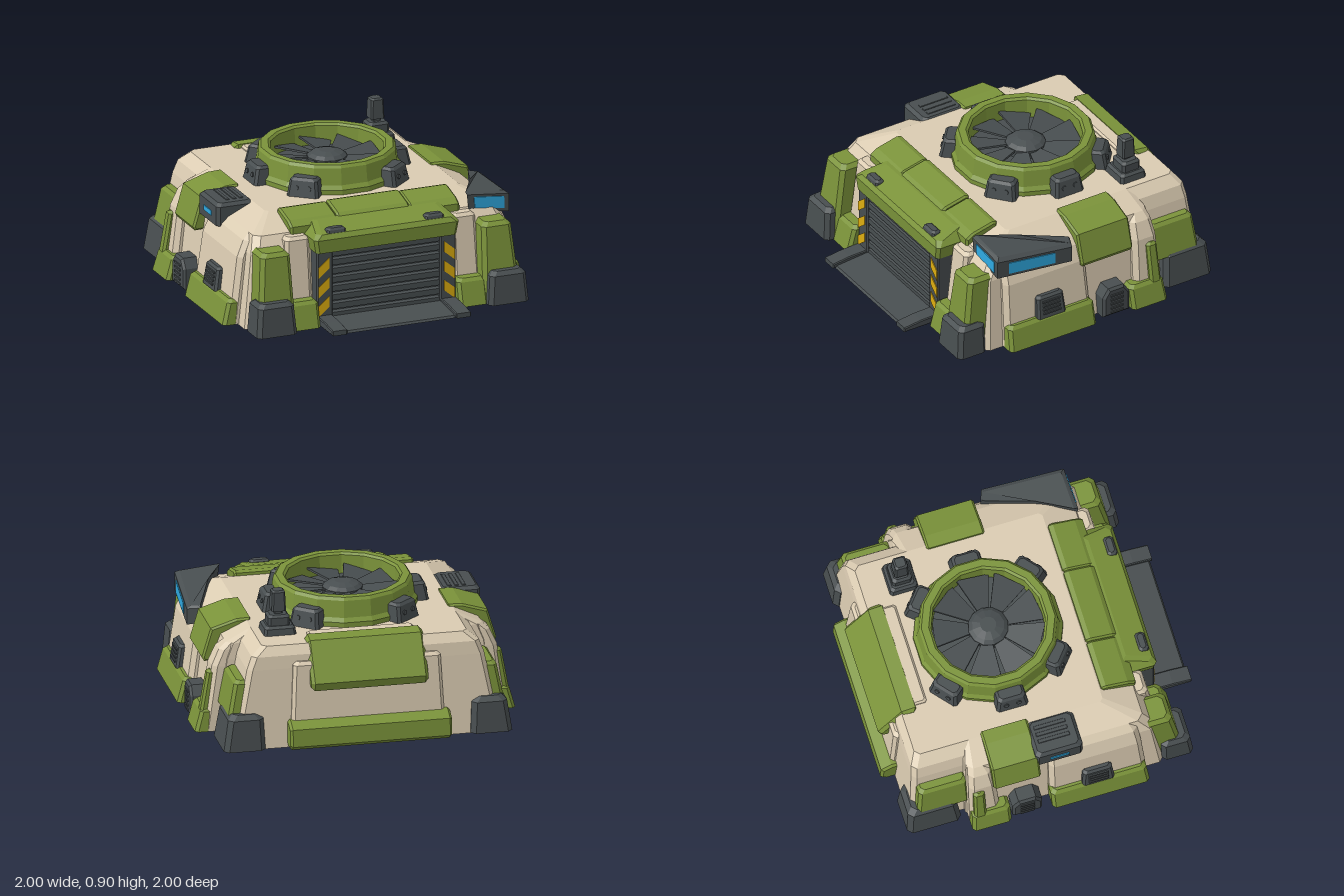
import * as THREE from 'three';

const flat = (name, hex) => {
  const m = new THREE.MeshStandardMaterial({ color: hex });
  m.name = name;
  return m;
};

export function createModel() {
  const green = flat('olive green', 0x7b933a);
  const tan = flat('sand', 0xdbccb2);
  const dark = flat('dark grey', 0x484e50);
  const yellow = flat('hazard yellow', 0xdeae10);
  const blue = flat('window blue', 0x2faae2);
  const model = new THREE.Group();
  model.name = 'bunker';

  const add = (name, geo, mat, parent = model) => {
    const g = geo.index ? geo.toNonIndexed() : geo;
    g.computeVertexNormals();
    const mesh = new THREE.Mesh(g, mat);
    mesh.name = name;
    parent.add(mesh);
    return mesh;
  };

  // Skin a stack of loops (each turning from +x to +z), with flat caps
  const loft = (loops) => {
    const pos = [], n = loops[0].length;
    const tri = (...p) => p.forEach((v) => pos.push(...v));
    for (let k = 0; k + 1 < loops.length; k++) {
      const A = loops[k], B = loops[k + 1];
      for (let i = 0; i < n; i++) {
        const j = (i + 1) % n;
        tri(A[i], B[i], A[j]);
        tri(A[j], B[i], B[j]);
      }
    }
    const bot = loops[0], top = loops[loops.length - 1];
    for (let i = 1; i + 1 < n; i++) {
      tri(bot[0], bot[i], bot[i + 1]);
      tri(top[0], top[i + 1], top[i]);
    }
    const g = new THREE.BufferGeometry();
    g.setAttribute('position', new THREE.Float32BufferAttribute(pos, 3));
    return g;
  };

  // Rectangle with cut corners at height y
  const ring = (y, [xa, xb, za, zb], c, inset = 0) => {
    const x0 = Math.min(xa, xb) + inset, x1 = Math.max(xa, xb) - inset;
    const z0 = za + inset, z1 = zb - inset;
    return [[x1, z0 + c], [x1, z1 - c], [x1 - c, z1], [x0 + c, z1],
      [x0, z1 - c], [x0, z0 + c], [x0 + c, z0], [x1 - c, z0]].map(([x, z]) => [x, y, z]);
  };

  // Tapered block with chamfered edges
  const block = (name, mat, y0, y1, r0, r1 = r0, b = 0.015, parent = model) =>
    add(name, loft([ring(y0, r0, b), ring(y1 - b, r1, b), ring(y1, r1, b, b)]), mat, parent);

  const extrude = (pts, depth, b) => new THREE.ExtrudeGeometry(
    new THREE.Shape(pts.map(([x, y]) => new THREE.Vector2(x, y))),
    { depth: depth - 2 * b, bevelEnabled: b > 0, bevelSize: b, bevelThickness: b, bevelOffset: -b, bevelSegments: 1 }
  ).translate(0, 0, b);

  // Side profile of (z, y) points swept from x0 to x1
  const sweepX = (name, mat, pts, x0, x1, b = 0.012) => add(name,
    extrude(pts.map(([z, y]) => [-z, y]), x1 - x0, b).rotateY(Math.PI / 2).translate(x0, 0, 0), mat);

  // Hull with sloping shoulders and a narrower rear
  add('hull', loft([
    ring(0, [-0.9, 0.9, -0.57, 0.7], 0.04),
    ring(0.46, [-0.84, 0.84, -0.55, 0.66], 0.04),
    ring(0.56, [-0.8, 0.8, -0.54, 0.59], 0.04),
    ring(0.635, [-0.64, 0.64, -0.5, 0.38], 0.02)
  ]), tan);
  add('rearHull', loft([
    ring(0, [-0.84, 0.84, -0.91, -0.4], 0.03),
    ring(0.5, [-0.74, 0.74, -0.87, -0.4], 0.03),
    ring(0.58, [-0.71, 0.71, -0.86, -0.4], 0.03),
    ring(0.635, [-0.64, 0.64, -0.82, -0.4], 0.03)
  ]), tan);

  const low = 0.004; // keeps the feet just above the hull floor
  for (const s of [1, -1]) {
    const side = s > 0 ? 'left' : 'right';
    const X = (a, b, z0, z1) => [s * a, s * b, z0, z1];

    // Flank armour and skirts
    for (const [name, z0, z1] of [['FrontFlank', -0.05, 0.57], ['RearFlank', -0.56, -0.36]])
      add(side + name, loft([
        ring(low, X(0.6, 0.95, z0, z1), 0.03),
        ring(0.42, X(0.6, 0.89, z0 + 0.01, z1 - 0.02), 0.03),
        ring(0.52, X(0.6, 0.845, z0 + 0.02, z1 - 0.03), 0.03),
        ring(0.56, X(0.6, 0.8, z0 + 0.03, z1 - 0.05), 0.03)
      ]), tan);
    block(side + 'FrontSkirt', green, low, 0.16, X(0.8, 1, -0.05, 0.57), X(0.8, 0.965, -0.05, 0.56), 0.02);
    block(side + 'RearSkirt', green, low, 0.15, X(0.8, 1, -0.56, -0.31), X(0.8, 0.965, -0.55, -0.31), 0.02);
    block(side + 'FlankPillar', green, low, 0.39, X(0.8, 0.985, -0.54, -0.46), X(0.8, 0.92, -0.53, -0.46), 0.015);

    // Shoulder plate folded over the upper edge
    const [z0, len] = s > 0 ? [-0.36, 0.37] : [-0.4, 0.3];
    add(side + 'ShoulderPlate', extrude([[0.61, 0.61], [0.615, 0.648], [0.7, 0.645], [0.86, 0.595],
      [0.915, 0.41], [0.9, 0.385], [0.8, 0.39]].map(([x, y]) => [s * x, y]), len, 0.012).translate(0, 0, z0), green);

    // Side vent box and arched vent with ribs
    block(side + 'VentBox', dark, 0.15, 0.295, X(0.85, 0.965, 0.15, 0.355), X(0.85, 0.945, 0.16, 0.345), 0.015);
    for (let i = 0; i < 4; i++)
      block(side + 'VentRib', dark, 0.177 + i * 0.025, 0.189 + i * 0.025,
        X(0.93, 0.969 - i * 0.004, 0.19, 0.315), undefined, 0.002);
    const arch = [[-0.11, low], [-0.11, 0.14], [-0.15, 0.2], [-0.26, 0.2], [-0.3, 0.14], [-0.3, low]];
    const ax = s > 0 ? [0.82, 0.975] : [-0.975, -0.82];
    sweepX(side + 'ArchedVent', dark, arch, ...ax, 0.015);
    for (let i = 0; i < 5; i++)
      block(side + 'ArchRib', dark, 0.025 + i * 0.03, 0.038 + i * 0.03, X(0.96, 0.982, -0.25, -0.16), undefined, 0.002);

    // Front corner: pillar, boot, lower block and inner wall
    block(side + 'FrontPillar', green, low, 0.5, X(0.62, 0.87, 0.5, 0.83), X(0.635, 0.83, 0.5, 0.765), 0.025);
    block(side + 'FrontBoot', dark, low, 0.21, X(0.635, 0.9, 0.68, 0.88), X(0.65, 0.885, 0.68, 0.865), 0.025);
    block(side + 'FrontFoot', green, low, 0.17, X(0.46, 0.65, 0.5, 0.83), X(0.46, 0.65, 0.5, 0.79), 0.02);
    block(side + 'InnerWall', tan, 0.1, 0.55, X(0.47, 0.64, 0.5, 0.72), X(0.47, 0.63, 0.5, 0.67), 0.02);

    // Rear corner: boot and plate above it
    block(side + 'RearBoot', dark, low, 0.23, X(0.64, 0.9, -0.945, -0.6), X(0.65, 0.87, -0.93, -0.62), 0.03);
    block(side + 'RearCornerPlate', green, 0.2, 0.43, X(0.65, 0.86, -0.87, -0.54), X(0.65, 0.82, -0.85, -0.54), 0.02);

    // Gate post with hazard stripes, and hood stud
    block(side + 'GatePost', dark, low, 0.47, X(0.355, 0.46, 0.6, 0.76), undefined, 0.008);
    for (let i = 0; i < 3; i++) {
      const y = 0.065 + i * 0.125;
      add(side + 'HazardStripe', extrude([[0.38, y + 0.042], [0.452, y - 0.018], [0.452, y + 0.05], [0.38, y + 0.11]]
        .map(([x, h]) => [s * x, h]), 0.008, 0).translate(0, 0, 0.757), yellow);
    }
    block(side + 'HoodStud', dark, 0.54, 0.605, X(0.255, 0.395, 0.69, 0.76), X(0.265, 0.385, 0.69, 0.75), 0.012);
  }

  // Gate: recess, roller slats and ramp
  block('gateRecess', dark, low, 0.47, [-0.37, 0.37, 0.55, 0.725], undefined, 0.005);
  for (let i = 0; i < 8; i++) {
    const y = 0.02 + i * 0.057;
    sweepX('gateSlat', dark, [[0.72, y], [0.75, y + 0.006], [0.75, y + 0.042], [0.72, y + 0.05]], -0.355, 0.355, 0);
  }
  sweepX('ramp', dark, [[0.72, low], [0.72, 0.042], [0.975, 0.018], [0.985, low]], -0.36, 0.36, 0);
  for (const x of [-0.46, 0.36])
    sweepX('rampRail', dark, [[0.72, low], [0.72, 0.055], [0.88, 0.05], [1, 0.035], [1, low]], x, x + 0.1, 0.006);

  // Hood above the gate and the roof plates behind it
  add('gateHood', loft([
    ring(0.46, [-0.465, 0.465, 0.45, 0.77], 0.02),
    ring(0.545, [-0.48, 0.48, 0.45, 0.775], 0.02),
    ring(0.575, [-0.455, 0.455, 0.45, 0.755], 0.03),
    ring(0.615, [-0.42, 0.42, 0.45, 0.6], 0.03)
  ]), green);
  for (const [x0, x1, h] of [[-0.57, -0.25, 0], [-0.25, 0.23, 0.008], [0.23, 0.55, 0]])
    sweepX('roofPlate', green, [[0.385, 0.58], [0.39, 0.65 + h], [0.42, 0.658 + h], [0.56, 0.625 + h], [0.61, 0.595], [0.61, 0.54]], x0, x1);

  // Rear: recessed panel, hatch cover, lip and bumper
  block('rearPanel', tan, 0.1, 0.54, [-0.48, 0.48, -0.93, -0.8], [-0.46, 0.46, -0.9, -0.8], 0.02);
  block('rearLip', tan, 0.58, 0.655, [-0.33, 0.33, -0.78, -0.65], undefined, 0.012);
  sweepX('rearHatch', green, [[-0.72, 0.6], [-0.73, 0.66], [-0.82, 0.65], [-0.97, 0.42], [-0.955, 0.37], [-0.9, 0.37], [-0.84, 0.52]], -0.37, 0.36, 0.02);
  sweepX('rearBumper', green, [[-0.84, low], [-0.84, 0.18], [-0.93, 0.175], [-0.995, 0.14], [-1, 0.03], [-0.97, low]], -0.51, 0.5, 0.015);

  // Fan housing on the roof
  const fan = new THREE.Group();
  fan.name = 'fan';
  fan.position.set(-0.005, 0, -0.16);
  model.add(fan);
  const profile = [[0.46, 0.59], [0.46, 0.665], [0.44, 0.69], [0.425, 0.795], [0.41, 0.813], [0.365, 0.813], [0.35, 0.8], [0.345, 0.66]];
  add('fanHousing', new THREE.LatheGeometry(profile.map((p) => new THREE.Vector2(...p)), 16).rotateY(Math.PI / 16), green, fan);
  add('fanWell', new THREE.CylinderGeometry(0.355, 0.355, 0.03, 16).rotateY(Math.PI / 16).translate(0, 0.665, 0), dark, fan);
  for (let i = 0; i < 9; i++) {
    const blade = extrude([[0.09, -0.03], [0.335, -0.105], [0.335, 0.105], [0.09, 0.03]], 0.012, 0)
      .rotateX(-Math.PI / 2 + 0.2).translate(0, 0.715, 0).rotateY(i * Math.PI * 2 / 9);
    add('fanBlade', blade, dark, fan);
  }
  const hub = [[0.125, 0.67], [0.125, 0.735], [0.1, 0.755], [0.05, 0.77], [0.0001, 0.77]];
  add('fanHub', new THREE.LatheGeometry(hub.map((p) => new THREE.Vector2(...p)), 12), dark, fan);

  // Clamps around the housing
  for (const a of [0, 50, 130, 180, 230, 310]) {
    const clamp = new THREE.Group();
    clamp.name = 'housingClamp';
    clamp.rotation.y = a * Math.PI / 180;
    fan.add(clamp);
    block('clampBody', dark, 0.61, 0.75, [0.4, 0.525, -0.105, 0.105], [0.4, 0.5, -0.088, 0.088], 0.016, clamp);
    for (const z of [-0.04, 0.04])
      add('clampBolt', new THREE.CylinderGeometry(0.016, 0.016, 0.01, 8)
        .rotateZ(-Math.PI / 2 + 0.2).translate(0.511, 0.69, z), dark, clamp);
  }

  // Sensor mast
  block('mastBase', dark, 0.61, 0.69, [0.385, 0.595, -0.665, -0.475], [0.395, 0.585, -0.655, -0.485]);
  block('mastBox', dark, 0.68, 0.755, [0.425, 0.56, -0.635, -0.51]);
  block('mastNeck', dark, 0.74, 0.79, [0.465, 0.515, -0.595, -0.545], undefined, 0.005);
  block('mastHead', dark, 0.775, 0.905, [0.445, 0.535, -0.615, -0.525], [0.45, 0.53, -0.61, -0.53], 0.01);

  // Roof vent box with ribs and a small screen
  block('roofVent', dark, 0.5, 0.643, [-0.875, -0.63, -0.12, 0.18], undefined, 0.02);
  for (const x of [-0.78, -0.735, -0.69])
    block('roofVentRib', dark, 0.635, 0.648, [x - 0.012, x + 0.012, -0.08, 0.12], undefined, 0.002);
  block('roofVentScreen', blue, 0.545, 0.577, [-0.879, -0.871, -0.03, 0.09], undefined, 0.002);

  // Wrap-around corner window: upright frame and panes
  const sill = [[0.915, 0.462, 0.08], [0.88, 0.495, 0.595], [0.61, 0.54, 0.6], [0.72, 0.53, 0.36], [0.84, 0.48, 0.05]];
  const brow = [[0.915, 0.565, 0.08], [0.88, 0.61, 0.595], [0.6, 0.64, 0.6], [0.72, 0.635, 0.36], [0.84, 0.575, 0.05]];
  const cap = [[0.89, 0.582, 0.085], [0.855, 0.628, 0.57], [0.6, 0.65, 0.575], [0.72, 0.645, 0.36], [0.835, 0.59, 0.06]];
  add('windowFrame', loft([sill, brow, cap]), dark);
  const v = (p) => new THREE.Vector3(...p);
  for (const [i, u0, u1] of [[0, 0.23, 0.85], [1, 0.12, 0.84]]) {
    const at = (u, t) => v(sill[i]).lerp(v(sill[i + 1]), u).lerp(v(brow[i]).lerp(v(brow[i + 1]), u), t);
    const out = at(0.5, 1).sub(at(0.5, 0)).cross(at(1, 0.5).sub(at(0, 0.5))).normalize();
    const quad = (d) => [[u0, 0.18], [u1, 0.18], [u1, 0.86], [u0, 0.86]]
      .map(([u, t]) => at(u, t).addScaledVector(out, d).toArray());
    add('windowPane', loft([quad(-0.002), quad(0.006)]), blue);
  }
  return model;
}
